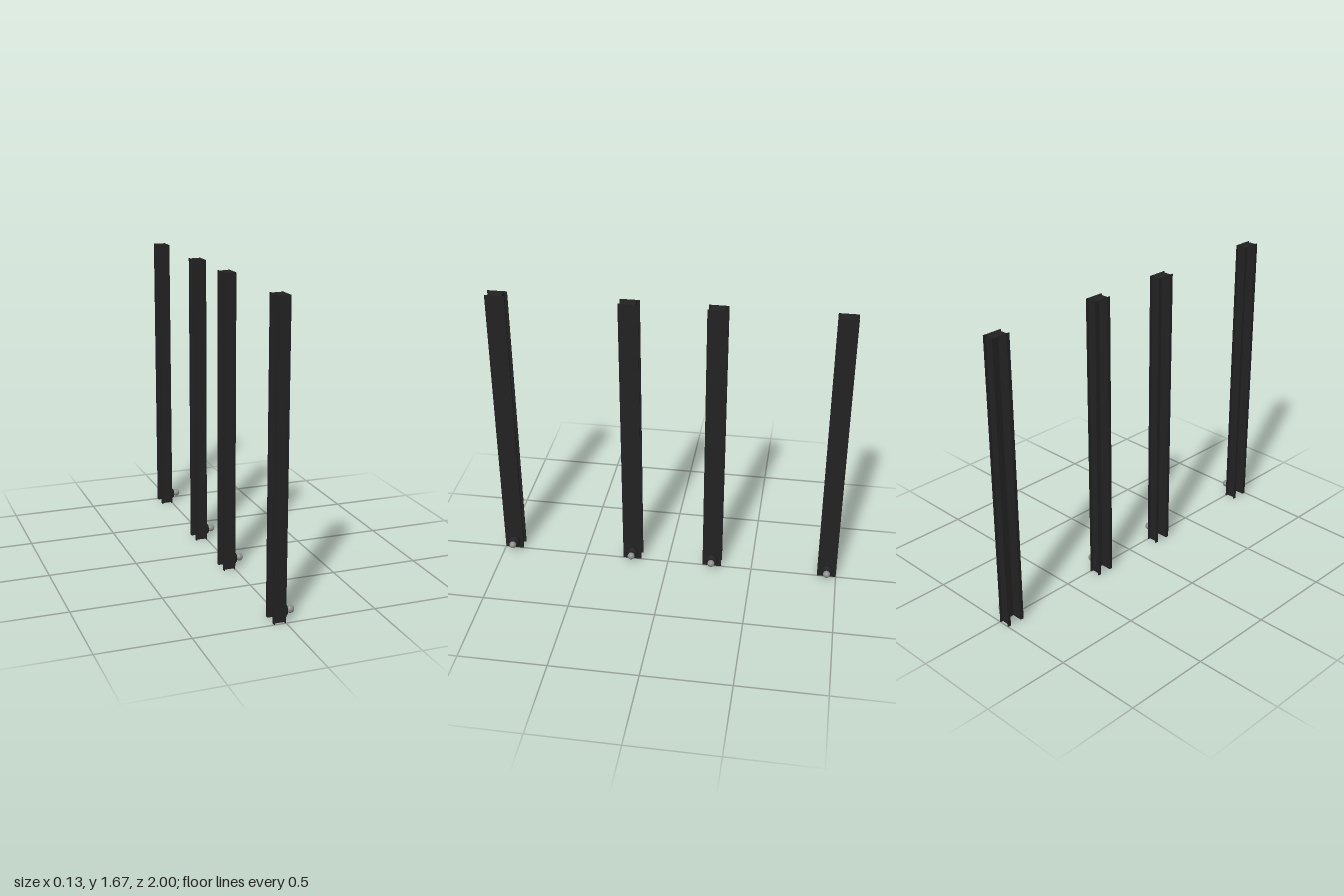
import * as THREE from 'three';

const HEIGHT = 1.675;   // post height
const BACK = -0.066;    // open side of the channel
const HALF = 0.055;     // half width of the flanges
const CORE = 0.04;      // half width of the channel body
const T = 0.005;        // sheet thickness

const black = new THREE.MeshStandardMaterial({ color: 0x222222 });
black.name = 'blackMetal';
const grey = new THREE.MeshStandardMaterial({ color: 0x8c8c8c });
grey.name = 'greyMetal';

function part(name, geometry, material, x, y, z) {
  const mesh = new THREE.Mesh(geometry, material);
  mesh.name = name;
  mesh.position.set(x, y, z);
  return mesh;
}

// Channel profile: wide face plate, two side walls and outward lips
function channelShape() {
  const half = [
    [0, HALF], [-T, HALF], [-T, CORE], [BACK + T, CORE],
    [BACK + T, HALF], [BACK, HALF], [BACK, CORE - T], [-T, CORE - T],
  ];
  const mirrored = half.map(([x, z]) => [x, -z]).reverse();
  return new THREE.Shape([...half, ...mirrored].map(([x, z]) => new THREE.Vector2(x, z)));
}

function createPost() {
  const post = new THREE.Group();
  post.name = 'post';

  // Upright channel
  const channel = new THREE.ExtrudeGeometry(channelShape(), { depth: HEIGHT, bevelEnabled: false });
  channel.rotateX(-Math.PI / 2);
  post.add(part('channel', channel, black, 0, 0, 0));

  // Closing plate at the top
  const cap = new THREE.BoxGeometry(-BACK - T, T, 2 * (CORE - T));
  post.add(part('topCap', cap, black, (BACK - T) / 2, HEIGHT - T / 2, 0));

  // Chamfered knob base, turned to point along +x
  const profile = [[0, -0.002], [0.034, -0.002], [0.034, 0.014], [0.026, 0.023], [0, 0.023]]
    .map(([r, h]) => new THREE.Vector2(r, h));
  const base = new THREE.LatheGeometry(profile, 24);
  base.rotateZ(-Math.PI / 2);
  post.add(part('knobBase', base, black, 0, 0.048, 0));

  // Round knob
  post.add(part('knob', new THREE.SphereGeometry(0.021, 20, 14), grey, 0.044, 0.048, 0));
  return post;
}

export function createModel() {
  const model = new THREE.Group();
  model.name = 'posts';
  for (const z of [0.945, 0.216, -0.264, -0.945]) {
    const post = createPost();
    post.position.z = z;
    model.add(post);
  }
  return model;
}
